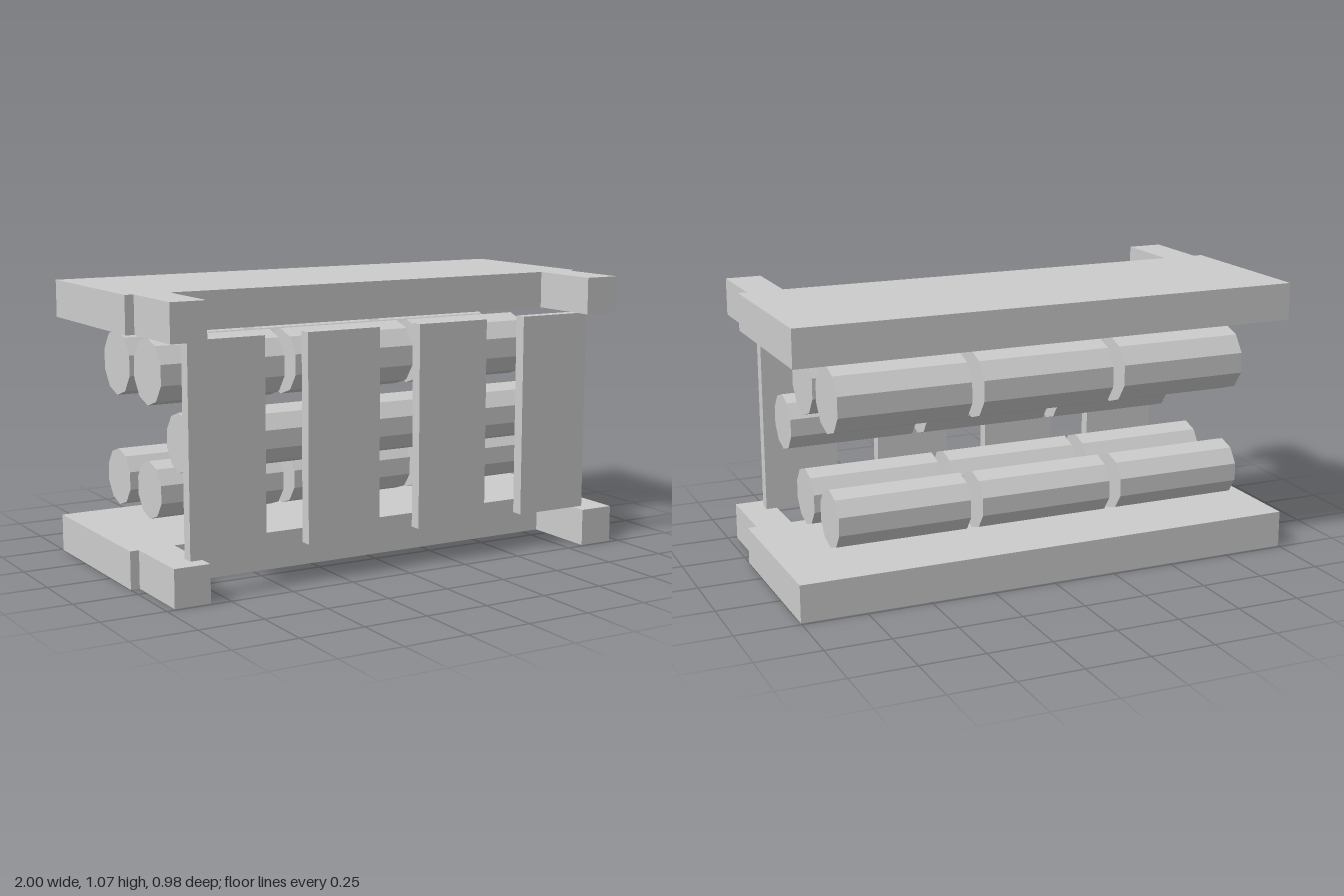
import * as THREE from 'three';

export function createModel() {
  const group = new THREE.Group();
  const grey = new THREE.MeshStandardMaterial({ color: 0xcccccc, flatShading: true });
  grey.name = 'plain grey';

  const add = (name, geometry) => {
    const mesh = new THREE.Mesh(geometry, grey);
    mesh.name = name;
    group.add(mesh);
    return mesh;
  };

  // Floor and roof: one slab outline with two arms reaching forward (shape y = -z)
  const back = 0.488, step = -0.185, front = -0.488;
  const outline = new THREE.Shape([
    [-1, back], [-1, step], [-0.965, step], [-0.965, front], [-0.825, front], [-0.825, step],
    [0.825, step], [0.825, front], [0.965, front], [0.965, step], [1, step], [1, back],
  ].map(([x, y]) => new THREE.Vector2(x, y)));
  for (const [name, y] of [['floorSlab', 0], ['roofSlab', 0.93]]) {
    const slab = new THREE.ExtrudeGeometry(outline, { depth: 0.144, bevelEnabled: false });
    slab.rotateX(-Math.PI / 2);
    add(name, slab).position.y = y;
  }

  // Four upright planks along the front
  for (let i = 0; i < 4; i++) {
    add('frontPlank', new THREE.BoxGeometry(0.304, 0.786, 0.048))
      .position.set(-0.721 + i * 0.479, 0.537, 0.401);
  }

  // Five ten-sided rods, each made of three segments with gaps between: [y, z, radius]
  const rods = [
    [0.762, -0.023, 0.128], [0.762, -0.311, 0.128],
    [0.537, 0.25, 0.111],
    [0.313, -0.022, 0.111], [0.313, -0.311, 0.111],
  ];
  const segments = [[-0.828, -0.315], [-0.267, 0.262], [0.31, 0.825]];
  for (const [y, z, radius] of rods) {
    for (const [x0, x1] of segments) {
      const rod = new THREE.CylinderGeometry(radius, radius, x1 - x0, 10);
      // Turn so that a corner points straight up, then lay along x
      rod.rotateY(Math.PI / 2).rotateZ(Math.PI / 2);
      add('rodSegment', rod).position.set((x0 + x1) / 2, y, z);
    }
  }
  return group;
}
